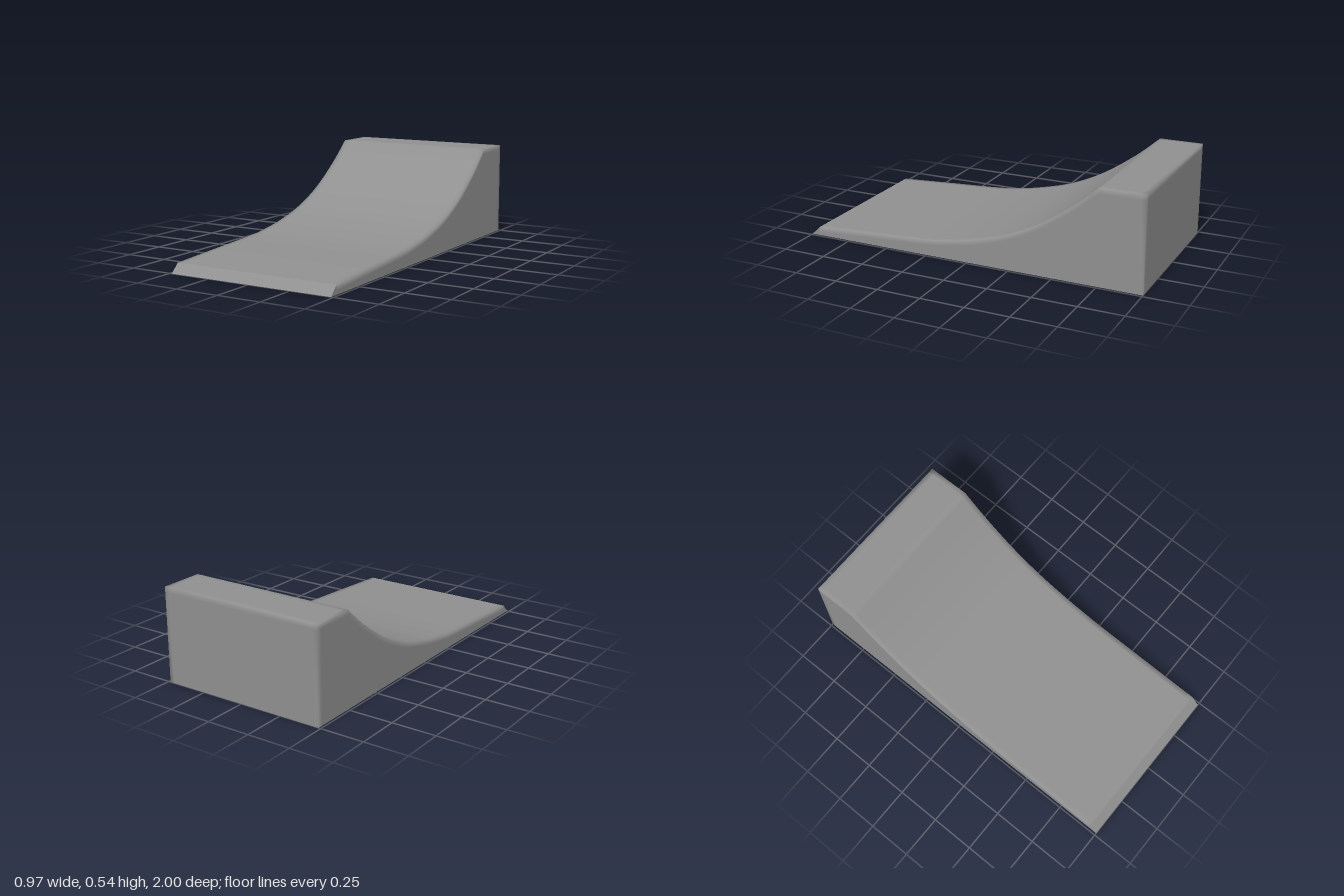
import * as THREE from 'three';

const HALF = 0.487; // half width
const TOP = 0.537; // deck height
const SOFT = 0.03; // width of the softly shaded band along the edges

// Rows run up the right side, across the top and down the left side;
// columns follow the profile from the front lip to the foot of the back.
function shellGeometry() {
  const curve = new THREE.SplineCurve([
    [0.95, 0.05], [0.6, 0.07], [0.28, 0.088], [0.14, 0.105], [0, 0.13],
    [-0.2, 0.185], [-0.4, 0.276], [-0.6, 0.41], [-0.75, TOP],
  ].map(([z, y]) => new THREE.Vector2(z, y)));
  const profile = curve.getPoints(40).map((p) => [p.x, p.y]);
  // Flat deck and upright back
  profile.push([-0.75 - SOFT, TOP], [-1 + SOFT, TOP], [-1, TOP], [-1, TOP - SOFT], [-1, 0]);

  const rows = 8;
  const positions = [];
  const index = [];
  profile.forEach(([z, y], c) => {
    const zIn = Math.max(z, -1 + SOFT);
    const yIn = z === -1 ? Math.min(y, TOP - SOFT) : y - SOFT;
    const right = [
      [-HALF, 0, zIn], [-HALF, yIn, zIn], [-HALF, y, z], [-HALF + SOFT, y, z],
    ];
    const left = right.map(([px, py, pz]) => [-px, py, pz]).reverse();
    positions.push(...right.flat(), ...left.flat());
    if (c === profile.length - 1) return;
    for (let r = 0; r < rows - 1; r++) {
      const a = c * rows + r;
      const b = a + rows;
      index.push(a, a + 1, b, a + 1, b + 1, b);
    }
  });

  const geometry = new THREE.BufferGeometry();
  geometry.setAttribute('position', new THREE.Float32BufferAttribute(positions, 3));
  geometry.setIndex(index);
  geometry.computeVertexNormals();
  return geometry;
}

export function createModel() {
  const group = new THREE.Group();
  group.name = 'ramp';
  const material = new THREE.MeshStandardMaterial({ color: 0x909090 });
  const add = (name, geometry) => {
    const mesh = new THREE.Mesh(geometry, material);
    mesh.name = name;
    group.add(mesh);
  };

  // Curved surface, deck, sides and back
  add('rampBody', shellGeometry());

  // Wedge-shaped front lip
  const wedge = new THREE.Shape([[0.95, 0], [1, 0], [0.95, 0.05]].map(([z, y]) => new THREE.Vector2(z, y)));
  const lip = new THREE.ExtrudeGeometry(wedge, { depth: 2 * HALF, bevelEnabled: false });
  lip.translate(0, 0, -HALF);
  lip.rotateY(-Math.PI / 2);
  add('frontLip', lip);

  // Flat underside
  const underside = new THREE.PlaneGeometry(2 * HALF, 1.95);
  underside.rotateX(Math.PI / 2);
  underside.translate(0, 0, -0.025);
  add('underside', underside);

  return group;
}
